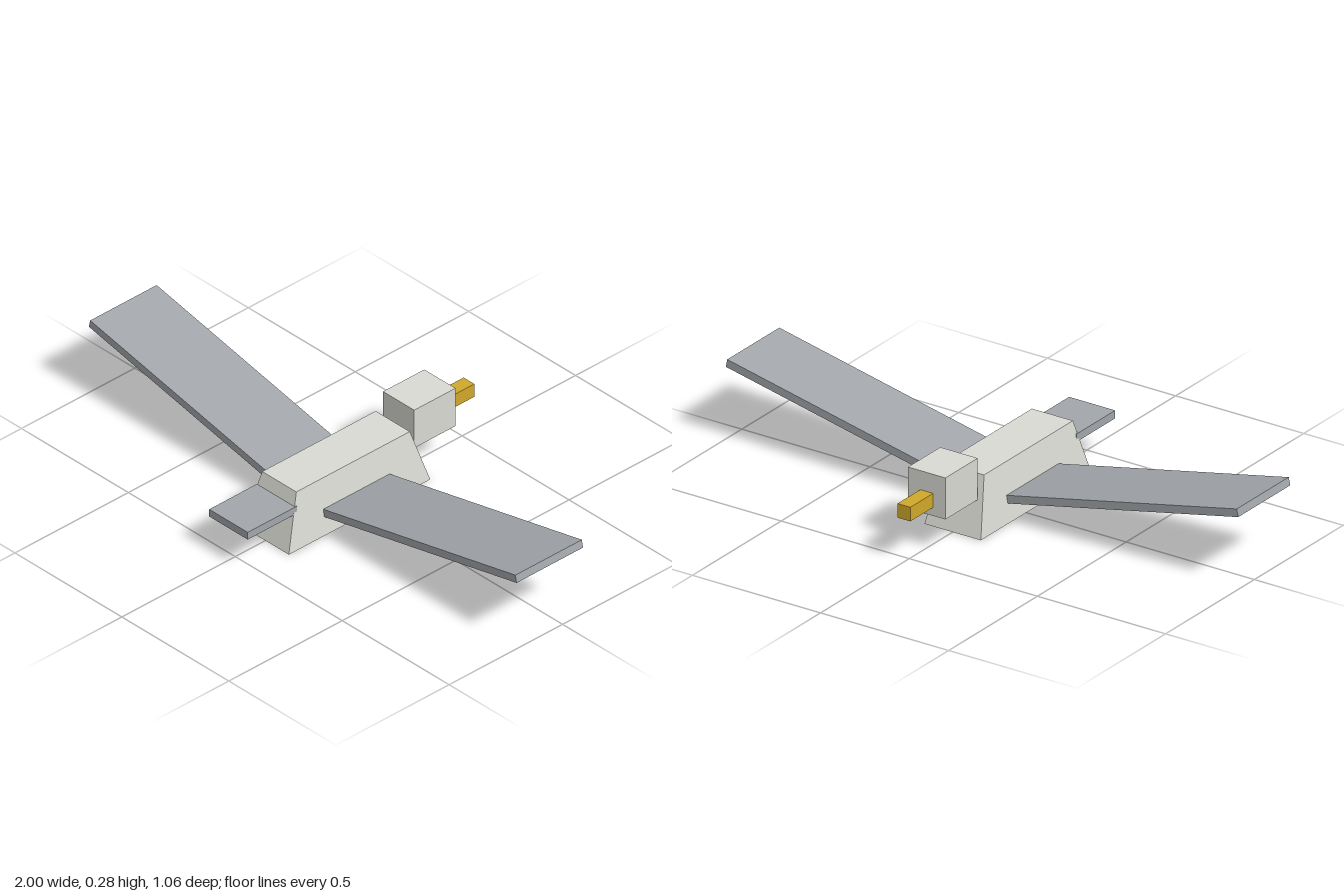
import * as THREE from 'three';

const mat = (name, color) => {
  const m = new THREE.MeshStandardMaterial({ color });
  m.name = name;
  return m;
};

// Box given by its size and centre
function box(name, material, [w, h, d], [x, y, z]) {
  const mesh = new THREE.Mesh(new THREE.BoxGeometry(w, h, d), material);
  mesh.name = name;
  mesh.position.set(x, y, z);
  return mesh;
}

export function createModel() {
  const plumage = mat('pale plumage', 0xdadad4);
  const feather = mat('grey feather', 0xa2a6aa);
  const gold = mat('gold beak', 0xd0a82a);

  const model = new THREE.Group();
  model.name = 'bird';

  // Body: a box whose top is drawn in on all four sides
  const body = box('body', plumage, [0.22, 0.2, 0.623], [0, 0.1, 0.056]);
  const p = body.geometry.attributes.position;
  for (let i = 0; i < p.count; i++) {
    if (p.getY(i) > 0) {
      p.setX(i, p.getX(i) * 0.727);
      p.setZ(i, p.getZ(i) * 0.803);
    }
  }
  body.geometry = body.geometry.toNonIndexed();
  body.geometry.computeVertexNormals();
  model.add(body);

  // Head and beak at the back end, tail at the front
  model.add(box('head', plumage, [0.146, 0.147, 0.182], [0, 0.194, -0.311]));
  model.add(box('beak', gold, [0.05, 0.05, 0.128], [0, 0.175, -0.466]));
  model.add(box('tail', feather, [0.18, 0.028, 0.218], [0, 0.139, 0.421]));

  // Wings raised by 12 degrees on each side
  for (const side of [1, -1]) {
    const wing = box(side > 0 ? 'leftWing' : 'rightWing', feather,
      [0.919, 0.028, 0.293], [side * 0.5475, 0.174, 0.056]);
    wing.rotation.z = side * THREE.MathUtils.degToRad(12);
    model.add(wing);
  }
  return model;
}
